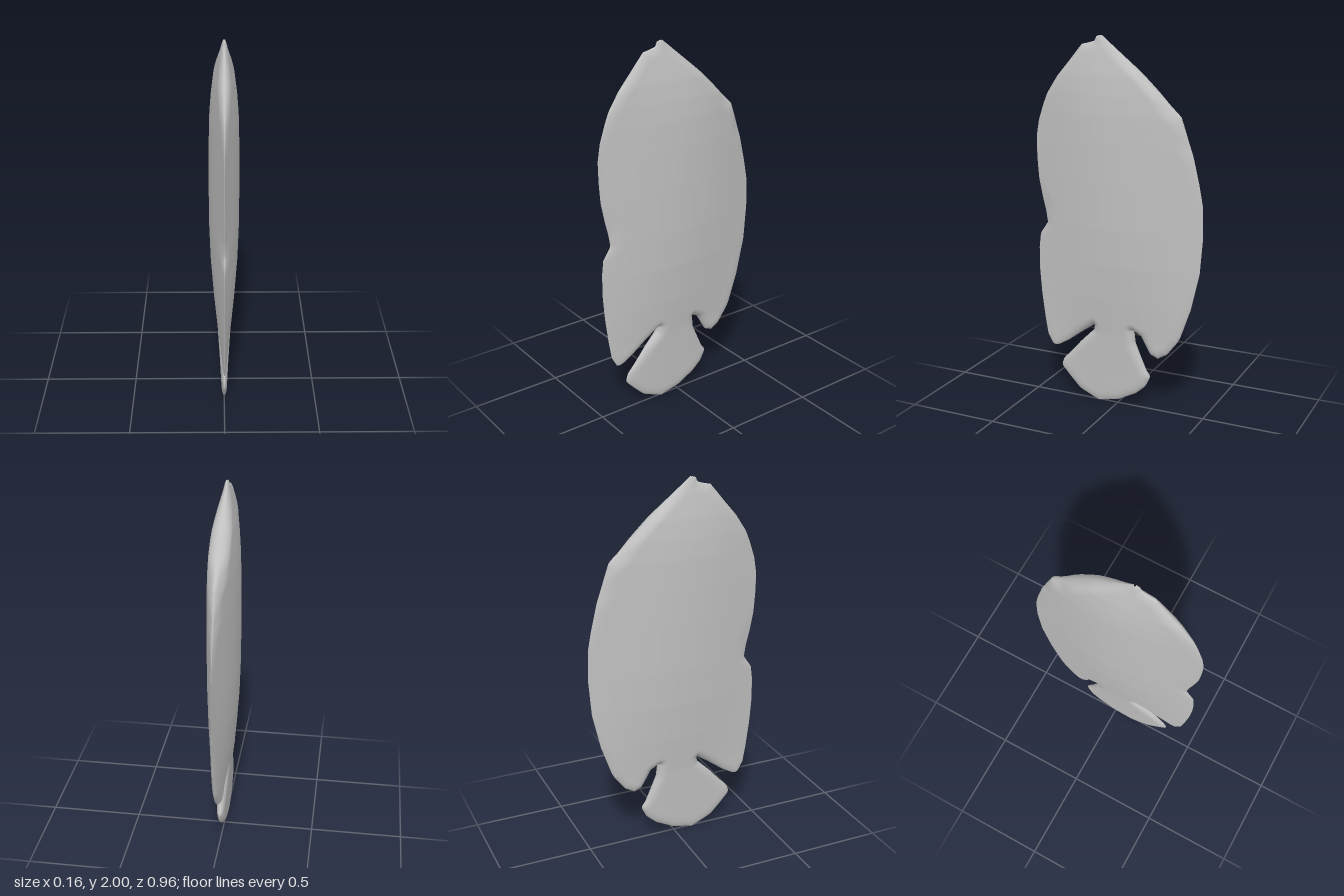
import * as THREE from 'three';
import { mergeVertices } from 'three/addons/utils/BufferGeometryUtils.js';

// Outline chains as [z, y], each running from top to bottom
const belly = [[.10, 2], [.12, 1.995], [.13, 1.97], [.165, 1.96], [.2, 1.955], [.23, 1.92], [.28, 1.86], [.35, 1.78],
  [.41, 1.69], [.435, 1.63], [.465, 1.54], [.48, 1.45], [.478, 1.34], [.47, 1.23], [.45, 1.13], [.43, 1.05],
  [.42, .985], [.44, .955], [.465, .92], [.475, .84], [.475, .71], [.465, .58], [.447, .44]];
const back = [[.09, 2], [-.02, 1.91], [-.13, 1.82], [-.23, 1.725], [-.30, 1.655], [-.35, 1.61], [-.42, 1.41],
  [-.455, 1.265], [-.475, 1.16], [-.48, 1], [-.465, .8], [-.42, .6], [-.365, .44]];
const bellyFinOuter = [[.447, .44], [.43, .34], [.40, .285], [.385, .28]];
const bellyFinInner = [[.135, .44], [.2, .395], [.3, .32], [.36, .285], [.38, .28]];
const tailFront = [[.135, .44], [.14, .41], [.22, .33], [.285, .255], [.33, .21], [.345, .165], [.295, .11],
  [.23, .045], [.14, .005], [.12, 0]];
const tailBack = [[-.095, .44], [-.105, .365], [-.14, .285], [-.17, .22], [-.195, .185], [-.165, .125],
  [-.11, .075], [-.005, .02], [.07, .004], [.10, 0]];
const backFinInner = [[-.095, .44], [-.14, .415], [-.17, .36], [-.195, .317], [-.235, .30]];
const backFinOuter = [[-.365, .44], [-.35, .41], [-.29, .33], [-.24, .30]];
const chains = [belly, back, bellyFinOuter, bellyFinInner, tailFront, tailBack, backFinInner, backFinOuter];

// Half thickness along the height, as [thickness, y]
const thickness = [[.012, 2], [.02, 1.95], [.036, 1.88], [.053, 1.8], [.066, 1.7], [.074, 1.6], [.078, 1.45], [.08, 1.25],
  [.079, 1], [.072, .8], [.057, .6], [.037, .4], [.025, .2], [.02, .1], [.014, 0]];

// Shallow dents near the rim, as [z, y, radius]
const dents = [[.42, 1.08, .07], [-.31, 1.64, .06], [-.40, 1.46, .05]];

// Value of a top-to-bottom chain at height y
function at(chain, y) {
  for (let i = 1; i < chain.length; i++) {
    const [a, ya] = chain[i - 1], [b, yb] = chain[i];
    if (y >= yb) return ya === yb ? b : a + (b - a) * Math.min(1, (ya - y) / (ya - yb));
  }
  return chain[chain.length - 1][0];
}

function rimDistance(z, y) {
  let best = Infinity;
  for (const c of chains) for (let i = 1; i < c.length; i++) {
    const [az, ay] = c[i - 1], dz = c[i][0] - az, dy = c[i][1] - ay;
    const t = THREE.MathUtils.clamp(((z - az) * dz + (y - ay) * dy) / (dz * dz + dy * dy), 0, 1);
    best = Math.min(best, Math.hypot(z - az - dz * t, y - ay - dy * t));
  }
  return best;
}

// Lens-shaped cross-section with a rounded rim
function halfWidth(z, y) {
  let rim = .045;
  for (const [dz, dy, r] of dents) rim += .05 * Math.exp(-((z - dz) ** 2 + (y - dy) ** 2) / (r * r));
  const lens = Math.max(.06, 1 - (z / .49) ** 2) ** 1.35;
  const t = Math.min(1, rimDistance(z, y) / rim);
  return at(thickness, y) * lens * Math.sqrt(1 - (1 - t) ** 2);
}

// Adds both sides of a patch lying between two edges
function addPatch(out, front, rear, top, bottom, rows) {
  const cols = 20, ease = t => (1 - Math.cos(Math.PI * t)) / 2, grid = [];
  for (let i = 0; i <= rows; i++) {
    const t = i / rows, y = top + (bottom - top) * (.5 * t + .5 * ease(t));
    const a = front(y), b = rear(y), row = [];
    for (let j = 0; j <= cols; j++) {
      const z = a + (b - a) * ease(j / cols);
      row.push([halfWidth(z, y), y, z]);
    }
    grid.push(row);
  }
  const tri = (p, q, r) => {
    out.push(...p, ...q, ...r);
    for (const [x, y, z] of [p, r, q]) out.push(-x, y, z);
  };
  for (let i = 0; i < rows; i++) for (let j = 0; j < cols; j++) {
    const a = grid[i][j], b = grid[i + 1][j], c = grid[i + 1][j + 1], d = grid[i][j + 1];
    tri(a, b, c);
    tri(a, c, d);
  }
}

export function createModel() {
  const group = new THREE.Group();
  group.name = 'flatFish';
  const grey = new THREE.MeshStandardMaterial({ color: 0xc0c0c0 });
  grey.name = 'plain grey';

  const seam = .44, out = [];
  // Body in three strips that run on into the fins and tail
  const split = f => y => at(belly, y) + (at(back, y) - at(belly, y)) * f;
  const width = .447 + .365;
  const cuts = [0, (.447 - .135) / width, (.447 + .095) / width, 1];
  for (let k = 0; k < 3; k++) addPatch(out, split(cuts[k]), split(cuts[k + 1]), 2, seam, 110);
  // Belly fin, tail and back fin
  const lobes = [[bellyFinOuter, bellyFinInner, .28], [tailFront, tailBack, 0], [backFinInner, backFinOuter, .30]];
  for (const [f, r, end] of lobes) addPatch(out, y => at(f, y), y => at(r, y), seam, end, 36);

  // Weld the strips so that the skin is smooth
  let geometry = new THREE.BufferGeometry();
  geometry.setAttribute('position', new THREE.Float32BufferAttribute(out, 3));
  geometry = mergeVertices(geometry, 1e-4);
  geometry.computeVertexNormals();

  const fish = new THREE.Mesh(geometry, grey);
  fish.name = 'bodyWithFinsAndTail';
  group.add(fish);
  return group;
}
